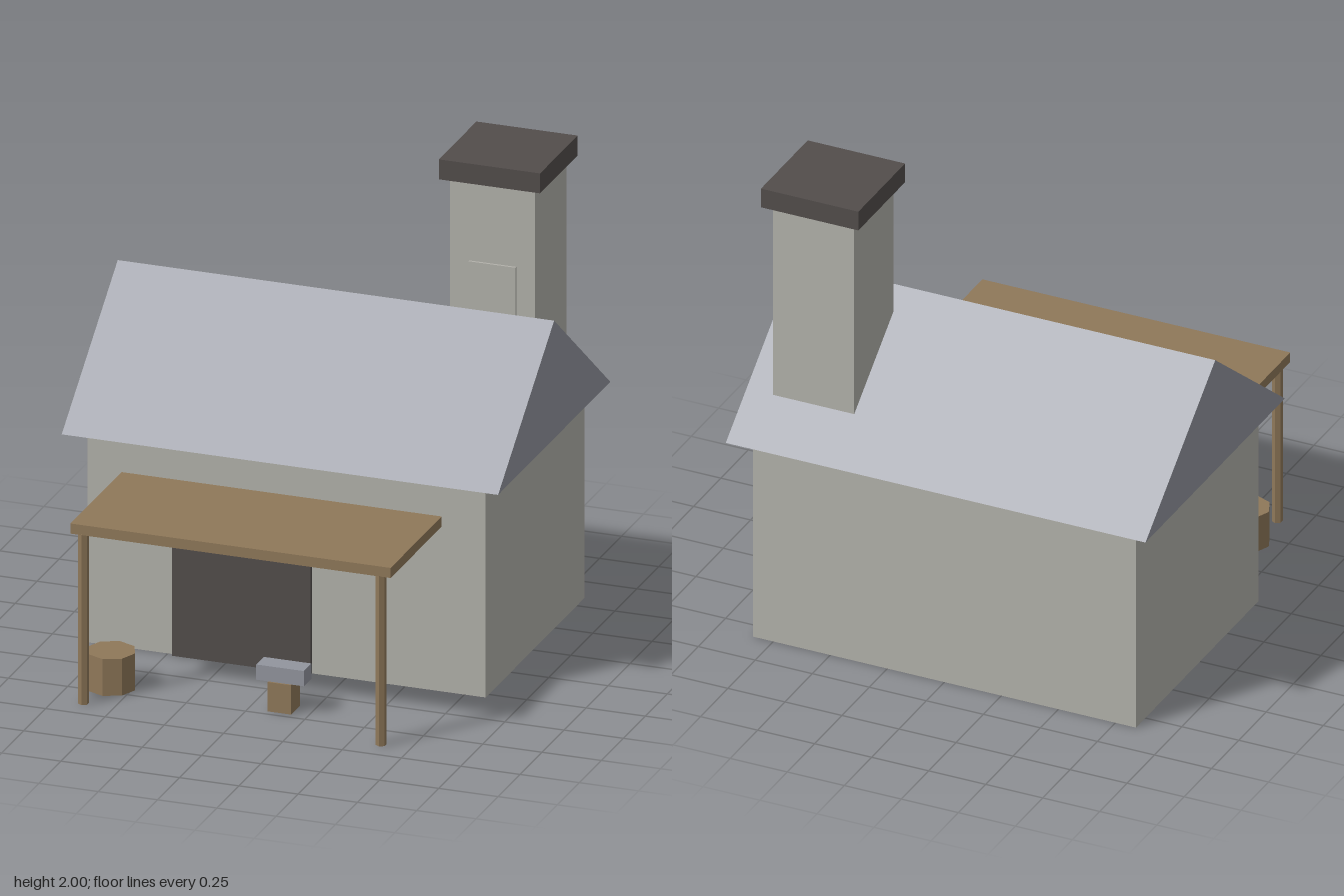
import * as THREE from 'three';

const mat = (name, color) => {
  const m = new THREE.MeshStandardMaterial({ color });
  m.name = name;
  m.flatShading = true;
  return m;
};

export function createModel() {
  const stone = mat('stone', 0xb2b1aa);
  const slate = mat('slate', 0x92959e);
  const wood = mat('wood', 0x8f7859);
  const dark = mat('soot', 0x524d4b);

  const model = new THREE.Group();
  model.name = 'forge';

  const add = (name, geometry, material, x = 0, y = 0, z = 0) => {
    const mesh = new THREE.Mesh(geometry, material);
    mesh.name = name;
    mesh.position.set(x, y, z);
    model.add(mesh);
    return mesh;
  };
  // Box given by its minimum and maximum on each axis
  const box = (name, material, [x0, x1], [y0, y1], [z0, z1]) =>
    add(name, new THREE.BoxGeometry(x1 - x0, y1 - y0, z1 - z0), material,
      (x0 + x1) / 2, (y0 + y1) / 2, (z0 + z1) / 2);

  // House body and doorway
  box('walls', stone, [-0.84, 0.84], [0, 0.905], [-0.835, 0.285]);
  box('doorway', dark, [-0.475, 0.107], [0, 0.54], [0.28, 0.303]);

  // Gabled roof: closed triangular prism running along x
  const gable = new THREE.Shape([
    new THREE.Vector2(-0.915, 0.903),
    new THREE.Vector2(0.36, 0.903),
    new THREE.Vector2(-0.277, 1.405),
  ]);
  const roof = new THREE.ExtrudeGeometry(gable, { depth: 1.84, bevelEnabled: false });
  roof.translate(0, 0, -0.92).rotateY(-Math.PI / 2);
  add('roof', roof, slate);

  // Chimney with a shallow front panel and a cap
  box('chimney', stone, [0.448, 0.805], [0.95, 1.915], [-0.725, -0.367]);
  box('chimneyPanel', stone, [0.53, 0.727], [1.2, 1.573], [-0.375, -0.357]);
  box('chimneyCap', dark, [0.413, 0.84], [1.915, 2], [-0.76, -0.333]);

  // Porch canopy on two posts
  box('canopy', wood, [-0.677, 0.673], [0.724, 0.767], [0.335, 0.915]);
  for (const x of [-0.63, 0.625]) {
    add('canopyPost', new THREE.CylinderGeometry(0.022, 0.022, 0.726, 6), wood, x, 0.363, 0.895);
  }

  // Chopped log and anvil on its block
  add('log', new THREE.CylinderGeometry(0.101, 0.101, 0.157, 8), wood, -0.587, 0.0785, 0.695);
  box('anvilBlock', wood, [0.083, 0.182], [0, 0.125], [0.622, 0.722]);
  box('anvil', slate, [0.032, 0.233], [0.125, 0.19], [0.629, 0.715]);

  return model;
}
